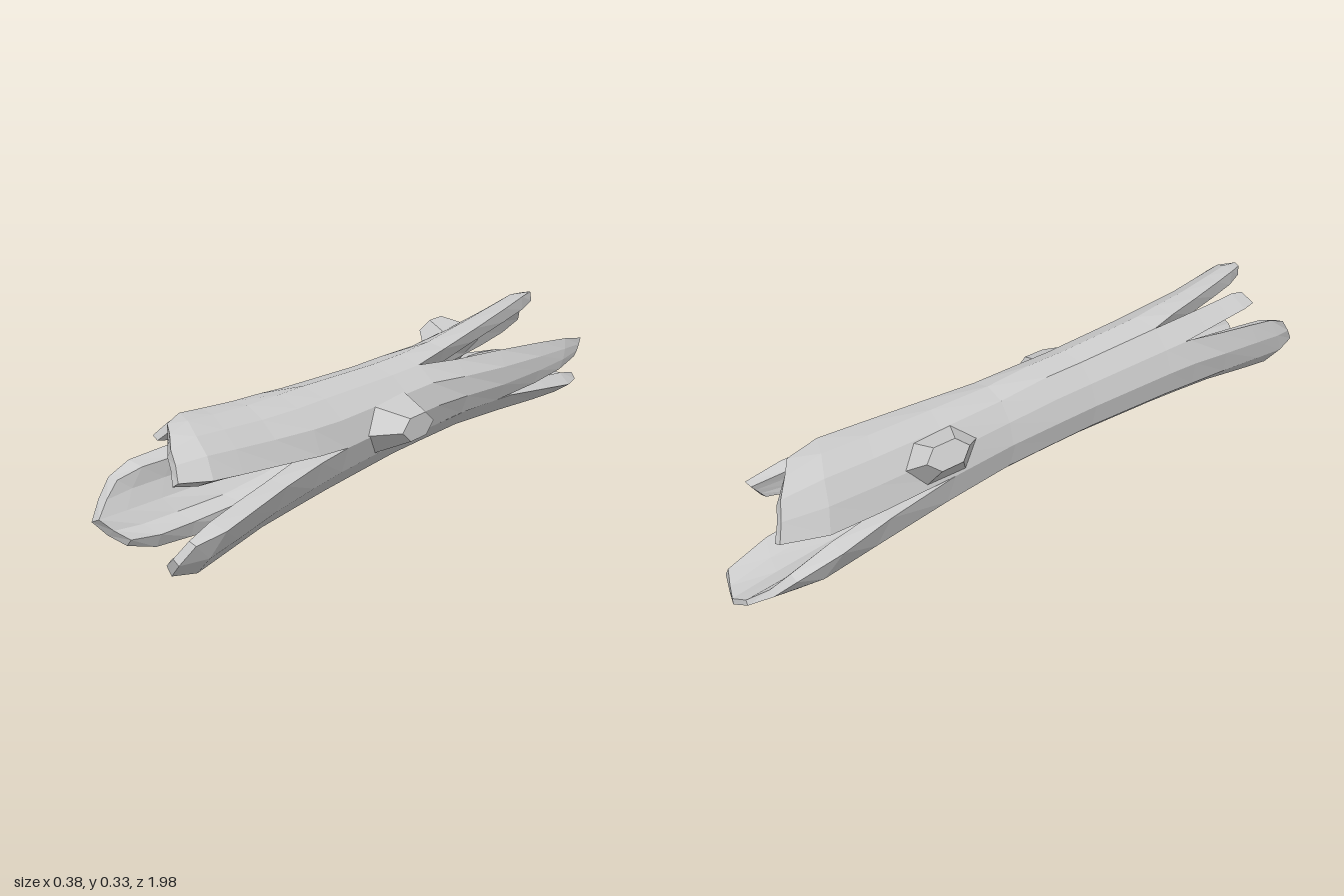
import * as THREE from 'three';

const { lerp, degToRad, clamp } = THREE.MathUtils;
const material = new THREE.MeshStandardMaterial({ color: 0xcccccc, flatShading: true });

// piecewise linear lookup in [key, value] pairs
function sample(table, key) {
  for (let i = 1; i < table.length; i++) {
    const [k0, v0] = table[i - 1], [k1, v1] = table[i];
    if (key <= k1) return lerp(v0, v1, clamp((key - k0) / (k1 - k0), 0, 1));
  }
  return table[table.length - 1][1];
}

// bark radius along the log, and its unevenness around the log
const barkRadius = [[-1, 0.163], [-0.82, 0.168], [-0.5, 0.14], [-0.2, 0.12], [0.1, 0.12],
  [0.4, 0.13], [0.65, 0.143], [0.9, 0.171], [1, 0.163]];
const uneven = [[0, 1], [60, 0.98], [90, 1.02], [120, 1.04], [150, 0.98], [210, 1.02],
  [240, 0.95], [270, 0.97], [300, 1.02], [330, 0.98], [360, 1]];

function around(angle, r, z) {
  const a = degToRad(angle);
  return new THREE.Vector3(r * Math.cos(a), 0.17 + r * Math.sin(a), z);
}
const bark = (angle, z, k = 1) =>
  around(angle, k * sample(barkRadius, z) * sample(uneven, (angle + 360) % 360), z);

// closed solid through equal cross-sections, ordered from back to front
function loft(name, rows) {
  const n = rows[0].length, pos = [];
  const quad = (a, b, c, d) => [a, b, c, a, c, d].forEach(p => pos.push(p.x, p.y, p.z));
  for (let i = 0; i < rows.length - 1; i++) {
    for (let j = 0; j < n; j++) {
      const k = (j + 1) % n;
      quad(rows[i][j], rows[i][k], rows[i + 1][k], rows[i + 1][j]);
    }
  }
  const first = rows[0], last = rows[rows.length - 1];
  for (let k = 0; k < n / 2 - 1; k++) {
    quad(last[k], last[k + 1], last[n - 2 - k], last[n - 1 - k]);
    quad(first[n - 1 - k], first[n - 2 - k], first[k + 1], first[k]);
  }
  const geometry = new THREE.BufferGeometry();
  geometry.setAttribute('position', new THREE.Float32BufferAttribute(pos, 3));
  geometry.computeVertexNormals();
  const mesh = new THREE.Mesh(geometry, material);
  mesh.name = name;
  return mesh;
}

// a shell splinter: each side is [base angle, z where the split opens, tip angle]
function splinter(name, base, [a0, open0, t0], [a1, open1, t1], tips) {
  const count = Math.max(1, Math.round((a1 - a0) / 30));
  const inner = [[0, 0.05], [0.35, 0.085], [0.75, 0.112], [1, 0.132]];
  const rows = [0, 0.2, 0.45, 0.7, 0.87, 1].map(t => {
    const outside = [], inside = [];
    const spread = (z, open, tip) => clamp((z - open) / (tip - open), 0, 1) ** 0.8;
    for (let j = 0; j <= count; j++) {
      const u = j / count;
      const tip = sample([[0, tips[0]], [0.5, tips[1]], [1, tips[2]]], u);
      const z = lerp(base, tip, t);
      const left = lerp(a0, t0, spread(z, open0, tip));
      const right = lerp(a1, t1, spread(z, open1, tip));
      const pinch = t === 1 ? 0.15 : 0;
      const angle = lerp(left, right, lerp(u, 0.5, pinch));
      outside.push(bark(angle, z, t === 1 ? 0.93 : 1));
      inside.unshift(around(angle, sample(inner, t), z));
    }
    return [...outside, ...inside];
  });
  if (tips[1] < base) rows.reverse();
  return loft(name, rows);
}

// a blunt branch stub pointing away from the log's axis
function knot(name, angle, z, reach, halfLength, halfWidth, lean) {
  const height = reach - 0.09;
  const geometry = new THREE.CylinderGeometry(0.45, 1, height, 6, 1);
  geometry.scale(halfWidth, 1, halfLength);
  const p = geometry.attributes.position;
  for (let i = 0; i < p.count; i++) if (p.getY(i) > 0) p.setZ(i, p.getZ(i) + lean);
  geometry.computeVertexNormals();
  const mesh = new THREE.Mesh(geometry, material);
  mesh.name = name;
  mesh.rotation.z = degToRad(angle - 90);
  mesh.position.copy(around(angle, 0.09 + height / 2, z));
  return mesh;
}

export function createModel() {
  const log = new THREE.Group();
  log.name = 'splinteredLog';

  // solid middle of the log
  const frontBase = 0.4, backBase = -0.03;
  const angles = Array.from({ length: 12 }, (_, i) => i * 30);
  log.add(loft('trunk', [backBase, 0.1, 0.25, frontBase].map(z => angles.map(a => bark(a, z)))));

  // front splinters
  log.add(
    splinter('frontSideSplinter', frontBase, [150, 0.5, 168], [270, 0.6, 238], [0.9, 0.97, 0.92]),
    splinter('frontSmallSplinter', frontBase, [120, 0.4, 122], [150, 0.5, 142], [0.78, 0.8, 0.8]),
    splinter('frontTopSplinter', frontBase, [0, 0.45, 28], [120, 0.4, 94], [0.99, 0.95, 0.88]),
    splinter('frontLowerSplinter', frontBase, [270, 0.6, 279], [360, 0.48, 342], [0.92, 1, 0.96]),
  );

  // back splinters
  log.add(
    splinter('backTopSplinter', backBase, [60, -0.03, 93], [180, -0.55, 170], [-0.82, -0.9, -0.94]),
    splinter('backLowerSplinter', backBase, [180, -0.55, 200], [330, -0.48, 310], [-0.9, -1, -0.94]),
    splinter('backThinSplinter', backBase, [330, -0.48, 352], [420, -0.03, 374], [-0.78, -0.8, -0.82]),
  );

  // branch stubs
  log.add(
    knot('leftKnot', 2, 0.18, 0.188, 0.16, 0.075, 0),
    knot('rightKnot', 152, -0.44, 0.2, 0.15, 0.075, -0.04),
  );
  return log;
}
